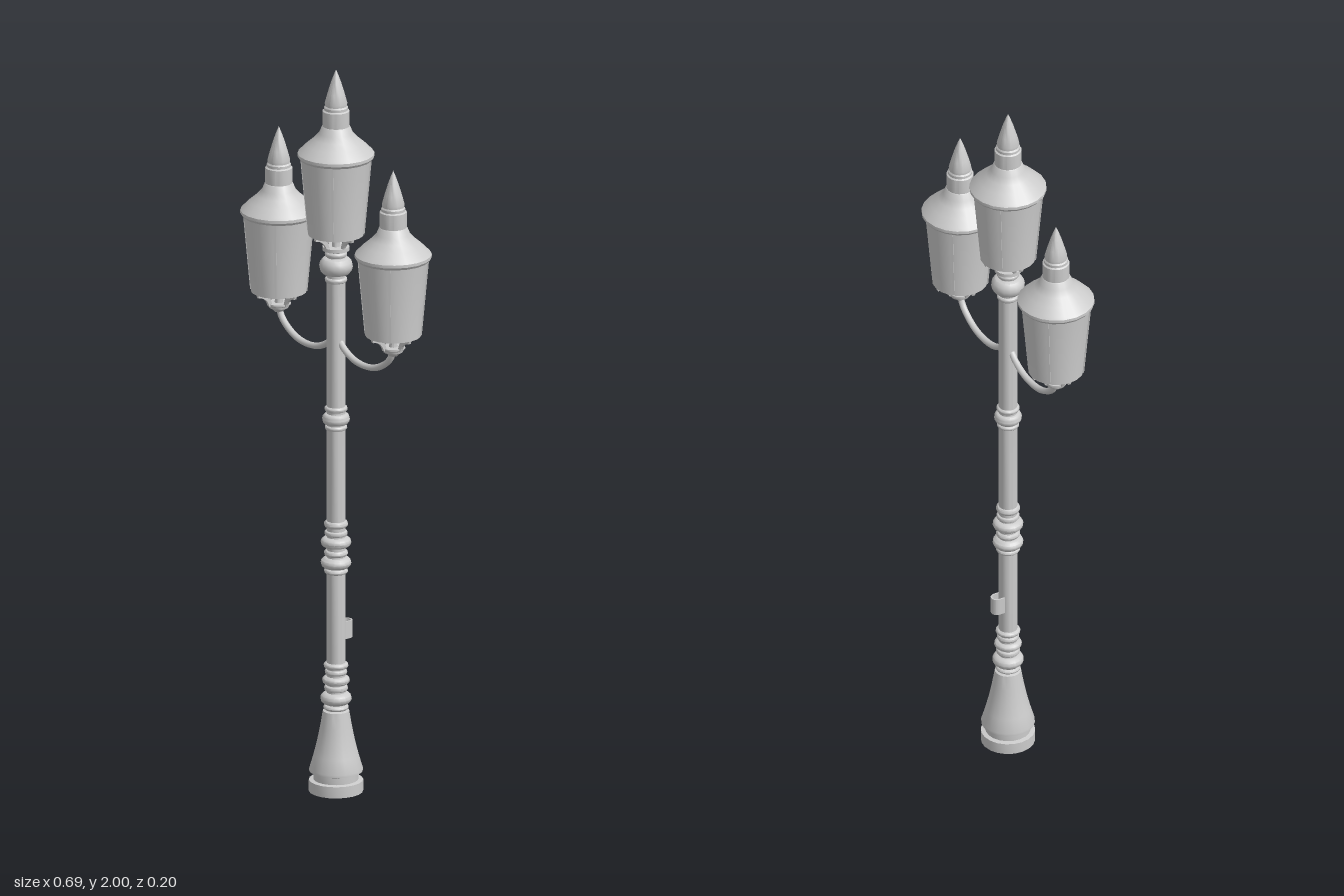
import * as THREE from 'three';
import { toCreasedNormals } from 'three/addons/utils/BufferGeometryUtils.js';

const material = new THREE.MeshStandardMaterial({ color: 0xcccccc, side: THREE.DoubleSide });

function addMesh(parent, name, geometry) {
  const mesh = new THREE.Mesh(geometry, material);
  mesh.name = name;
  parent.add(mesh);
  return mesh;
}

// Turned part from [radius, height] pairs, bottom to top
function turned(profile, sides = 20) {
  const points = profile.map(([r, y]) => new THREE.Vector2(r, y));
  return toCreasedNormals(new THREE.LatheGeometry(points, sides), 0.6);
}

// Rounded collar profile centred on height y
function collar(y, radius, height, neck = 0.025) {
  const points = [];
  for (let i = 0; i <= 6; i++) {
    const a = (i / 6) * Math.PI;
    points.push([neck + (radius - neck) * Math.sin(a), y - (height / 2) * Math.cos(a)]);
  }
  return points;
}

// Lantern with its floor at y = 0
function createLantern(name) {
  const lantern = new THREE.Group();
  lantern.name = name;

  addMesh(lantern, 'lanternBody', turned([[0, 0], [0.074, 0], [0.074, 0.005], [0.093, 0.212]]));
  addMesh(lantern, 'lanternRoof', turned([
    [0.09, 0.208], [0.097, 0.21], [0.102, 0.217], [0.102, 0.225], [0.096, 0.231],
    [0.078, 0.249], [0.058, 0.266], [0.045, 0.281], [0.038, 0.298],
    [0.036, 0.3], [0.036, 0.342], [0.032, 0.345], [0.032, 0.352], [0.029, 0.356],
    [0.03, 0.364], [0.023, 0.39], [0.014, 0.42], [0.006, 0.442], [0, 0.456],
  ]));

  // Slim glazing bars up the sloping sides
  for (let i = 0; i < 4; i++) {
    const pivot = new THREE.Group();
    pivot.rotation.y = Math.PI / 4 + (i * Math.PI) / 2;
    const bar = addMesh(pivot, 'glazingBar', new THREE.BoxGeometry(0.004, 0.21, 0.006));
    bar.position.set(0.0835, 0.107, 0);
    bar.rotation.z = -Math.atan2(0.019, 0.207);
    lantern.add(pivot);
  }

  // Central stem and four scrolled brackets under the floor
  addMesh(lantern, 'lanternStem', turned([[0.012, -0.04], [0.01, -0.02], [0.012, 0.001]], 12));
  const shape = new THREE.Shape();
  shape.moveTo(0.07, -0.008);
  shape.quadraticCurveTo(0.042, -0.01, 0.034, -0.038);
  shape.lineTo(0.024, -0.038);
  shape.quadraticCurveTo(0.03, -0.01, 0.045, 0);
  shape.lineTo(0.072, 0);
  const bracketGeometry = new THREE.ExtrudeGeometry(shape, {
    depth: 0.008, bevelEnabled: false, curveSegments: 6,
  });
  bracketGeometry.translate(0, 0, -0.004);
  for (let i = 0; i < 4; i++) {
    addMesh(lantern, 'lanternBracket', bracketGeometry).rotation.y = (i * Math.PI) / 2;
  }
  return lantern;
}

export function createModel() {
  const lamp = new THREE.Group();
  lamp.name = 'streetLamp';

  // Flared foot
  addMesh(lamp, 'base', turned([
    [0, 0], [0.072, 0], [0.072, 0.031], [0.06, 0.033], [0.06, 0.052],
    [0.071, 0.056], [0.071, 0.063], [0.06, 0.1], [0.05, 0.14], [0.042, 0.18],
    [0.035, 0.222], [0.025, 0.225],
  ]));

  // Shaft with turned collars
  addMesh(lamp, 'pole', turned([
    [0.025, 0.21],
    ...collar(0.232, 0.034, 0.014),
    ...collar(0.257, 0.042, 0.032),
    ...collar(0.285, 0.032, 0.016),
    ...collar(0.307, 0.037, 0.022),
    ...collar(0.33, 0.03, 0.014),
    ...collar(0.348, 0.033, 0.016),
    ...collar(0.61, 0.032, 0.014),
    ...collar(0.633, 0.041, 0.03),
    ...collar(0.66, 0.032, 0.016),
    ...collar(0.69, 0.041, 0.028),
    ...collar(0.715, 0.031, 0.014),
    ...collar(0.74, 0.032, 0.018),
    ...collar(1.008, 0.03, 0.012),
    ...collar(1.032, 0.037, 0.03),
    ...collar(1.06, 0.031, 0.014),
    ...collar(1.418, 0.03, 0.014),
    ...collar(1.456, 0.045, 0.048),
    ...collar(1.489, 0.03, 0.014),
    [0.036, 1.5], [0.036, 1.51], [0, 1.51],
  ], 16));

  const centreLantern = createLantern('centreLantern');
  centreLantern.position.y = 1.544;
  lamp.add(centreLantern);

  // Side lanterns on swept arms
  for (const side of [-1, 1]) {
    const name = side > 0 ? 'left' : 'right';
    const lantern = createLantern(name + 'Lantern');
    lantern.position.set(side * 0.243, 1.325, 0);
    lamp.add(lantern);

    const cup = addMesh(lamp, name + 'Cup', turned([
      [0, 1.268], [0.012, 1.268], [0.018, 1.275], [0.026, 1.279], [0.028, 1.285],
      [0.032, 1.288], [0.032, 1.293], [0, 1.293],
    ], 16));
    cup.position.x = side * 0.243;

    const path = new THREE.CatmullRomCurve3([
      [0.01, 1.256], [0.035, 1.233], [0.075, 1.214], [0.12, 1.208],
      [0.165, 1.214], [0.205, 1.233], [0.23, 1.255], [0.243, 1.28],
    ].map(([x, y]) => new THREE.Vector3(side * x, y, 0)));
    addMesh(lamp, name + 'Arm', new THREE.TubeGeometry(path, 24, 0.009, 8));
  }

  // Curved clip on the back of the pole
  const clip = new THREE.Shape();
  clip.moveTo(-0.016, 0.018);
  clip.lineTo(-0.016, 0.036);
  clip.quadraticCurveTo(-0.014, 0.05, 0, 0.051);
  clip.quadraticCurveTo(0.014, 0.05, 0.016, 0.036);
  clip.lineTo(0.016, 0.018);
  clip.lineTo(0.012, 0.018);
  clip.lineTo(0.012, 0.036);
  clip.quadraticCurveTo(0.01, 0.046, 0, 0.047);
  clip.quadraticCurveTo(-0.01, 0.046, -0.012, 0.036);
  clip.lineTo(-0.012, 0.018);
  const clipGeometry = new THREE.ExtrudeGeometry(clip, {
    depth: 0.048, bevelEnabled: false, curveSegments: 5,
  });
  clipGeometry.rotateX(-Math.PI / 2);
  addMesh(lamp, 'poleClip', clipGeometry).position.y = 0.419;

  return lamp;
}
